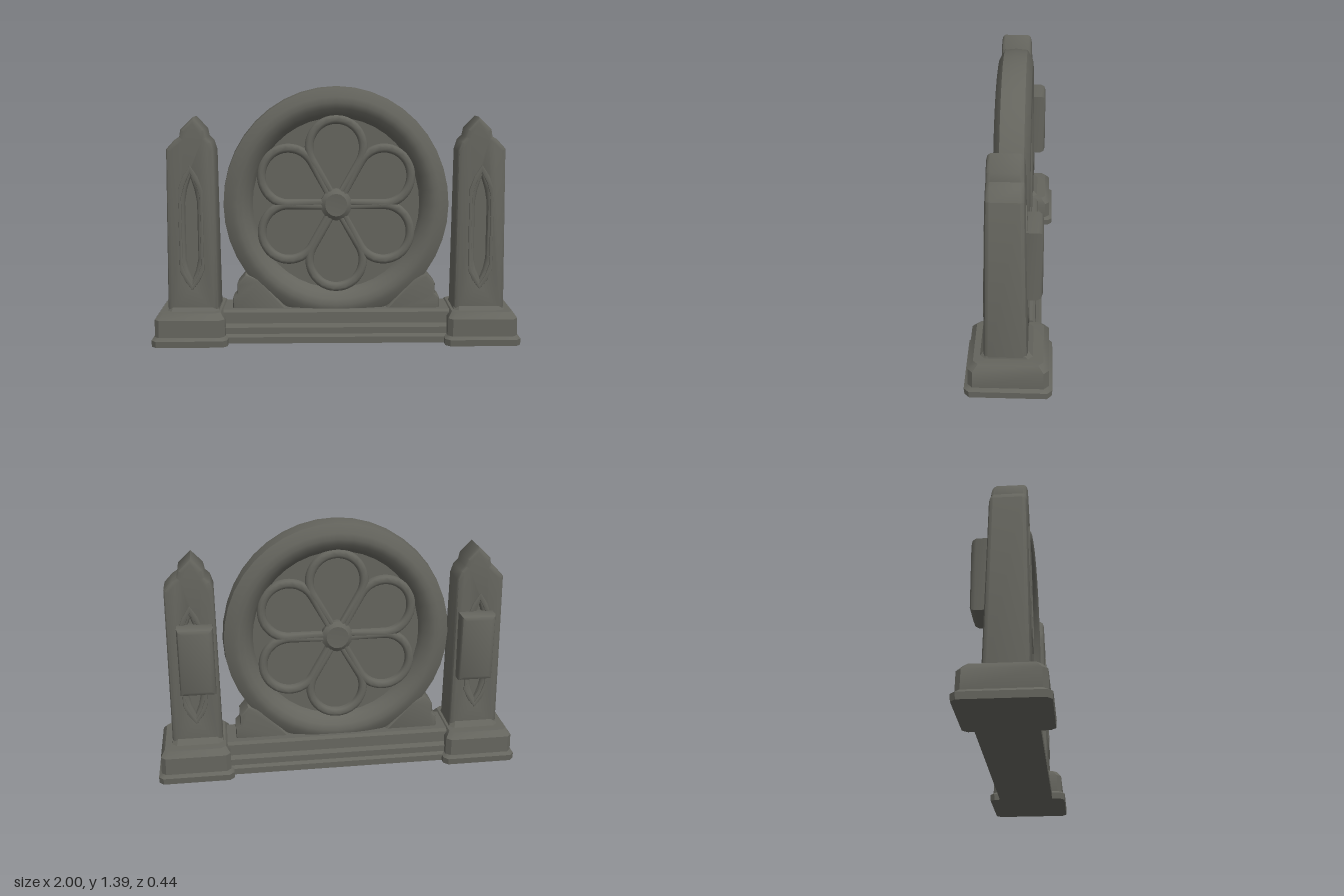
import * as THREE from 'three';
import { toCreasedNormals } from 'three/addons/utils/BufferGeometryUtils.js';

const stone = new THREE.MeshStandardMaterial({ color: 0x64645d });
stone.name = 'weathered stone';

function part(name, geometry, parent, crease = 0.6) {
  const mesh = new THREE.Mesh(toCreasedNormals(geometry, crease), stone);
  mesh.name = name;
  parent.add(mesh);
  return mesh;
}

const points = (list) => list.map(([x, y]) => new THREE.Vector2(x, y));
const outline = (list) => new THREE.Shape(points(list));

// Bevelled slab whose full size equals the outline, centred on z
function slab(shape, depth, bevel, curveSegments = 12) {
  const g = new THREE.ExtrudeGeometry(shape, {
    depth: depth - 2 * bevel, bevelEnabled: bevel > 0, bevelThickness: bevel,
    bevelSize: bevel, bevelOffset: -bevel, bevelSegments: 2, curveSegments,
  });
  return g.translate(0, 0, -depth / 2 + bevel);
}

// Block with cut corners whose size follows a list of [halfWidth, halfDepth, y]
function steppedBlock(levels) {
  const pos = [], index = [], cut = 0.025;
  levels.forEach(([w, d, y]) => {
    [[w, d - cut], [w - cut, d], [cut - w, d], [-w, d - cut],
      [-w, cut - d], [cut - w, -d], [w - cut, -d], [w, cut - d]].forEach(([x, z]) => pos.push(x, y, z));
  });
  for (let i = 0; i < levels.length - 1; i++) {
    for (let j = 0; j < 8; j++) {
      const a = i * 8 + j, b = i * 8 + (j + 1) % 8;
      index.push(a, a + 8, b, b, a + 8, b + 8);
    }
  }
  const top = (levels.length - 1) * 8;
  for (let j = 1; j < 7; j++) index.push(0, j, j + 1, top, top + j + 1, top + j);
  const g = new THREE.BufferGeometry();
  g.setAttribute('position', new THREE.Float32BufferAttribute(pos, 3));
  g.setIndex(index);
  return g;
}

// Teardrop with a round end of radius r at height c and its tip towards the hub
function teardrop(Type, c, r, tip) {
  const a = Math.asin(r / (c - tip));
  const s = new Type();
  s.moveTo(0, tip);
  s.absarc(0, c, r, -a, Math.PI + a, false);
  s.lineTo(0, tip);
  return s;
}

function roseWindow() {
  const wheel = new THREE.Group();
  wheel.name = 'roseWindow';

  // Heavy outer ring with rounded shoulders
  const ring = new THREE.LatheGeometry(points([
    [0.455, -0.02], [0.475, -0.05], [0.505, -0.082], [0.535, -0.092], [0.565, -0.088], [0.612, -0.06],
    [0.618, 0], [0.612, 0.06], [0.565, 0.088], [0.535, 0.092], [0.505, 0.082], [0.475, 0.05],
    [0.455, 0.02], [0.455, -0.02]]), 40);
  part('outerRing', ring.rotateX(Math.PI / 2), wheel, 0.75);

  // Sunken panel behind the tracery
  part('panel', new THREE.CylinderGeometry(0.47, 0.47, 0.044, 40).rotateX(Math.PI / 2), wheel);

  // Six petal frames with rounded edges, open in the middle
  for (let i = 0; i < 6; i++) {
    const petal = teardrop(THREE.Shape, 0.3, 0.17, 0);
    petal.holes.push(teardrop(THREE.Path, 0.3, 0.124, 0.052));
    part('petalFrame', slab(petal, 0.11, 0.016, 20), wheel, 0.9).rotation.z = i * Math.PI / 3;
  }

  // Hub
  const hub = new THREE.LatheGeometry(points([
    [0, -0.064], [0.06, -0.068], [0.085, -0.05], [0.085, 0.05], [0.06, 0.068], [0, 0.064]]), 16);
  part('hub', hub.rotateX(Math.PI / 2), wheel);

  // The wheel is slightly taller than wide
  wheel.position.set(0, 0.752, -0.002);
  wheel.scale.y = 1.035;
  return wheel;
}

// Niche outline, pointed at top and bottom
const lancet = (w, low, high) => [
  [0, low], [w * 0.6, low + 0.05], [w, low + 0.11], [w, high - 0.13], [w * 0.6, high - 0.06],
  [0, high], [-w * 0.6, high - 0.06], [-w, high - 0.13], [-w, low + 0.11], [-w * 0.6, low + 0.05]];

// Narrows the pillar depth towards the top
function taper(g) {
  const p = g.attributes.position;
  for (let i = 0; i < p.count; i++) {
    p.setZ(i, p.getZ(i) * (1.06 - 0.2 * p.getY(i)) + 0.014);
  }
  return g;
}

function pillar(side) {
  const g = new THREE.Group();
  g.name = side > 0 ? 'leftPillar' : 'rightPillar';
  const x = side * 0.782;

  // Stepped plinth
  part('plinth', steppedBlock([
    [0.205, 0.215, 0], [0.205, 0.218, 0.035], [0.19, 0.2, 0.05], [0.188, 0.198, 0.145],
    [0.165, 0.172, 0.178], [0.15, 0.13, 0.18]]), g).position.x = side * 0.795;

  // Gabled shaft with a splayed niche through it, backed by a core
  const shaft = outline([
    [-0.138, 0.14], [0.138, 0.14], [0.126, 1.06], [0.08, 1.11], [0.055, 1.125], [0.048, 1.165],
    [-0.02, 1.23], [-0.082, 1.165], [-0.09, 1.125], [-0.115, 1.1], [-0.131, 1.05],
  ].map(([px, py]) => [side * px, py]));
  shaft.holes.push(new THREE.Path(points(lancet(0.032, 0.355, 0.905))));
  part('shaft', taper(slab(shaft, 0.214, 0.024)), g, 0.8).position.x = x;
  const core = new THREE.BoxGeometry(0.16, 0.76, 0.165).translate(0, 0.63, 0);
  part('nicheBack', taper(core), g).position.x = x;

  // Slim raised frame around the niche, front and back
  const frame = outline(lancet(0.066, 0.295, 0.975));
  frame.holes.push(new THREE.Path(points(lancet(0.05, 0.325, 0.935))));
  part('nicheFrame', taper(slab(frame, 0.226, 0.004)), g).position.x = x;

  // Block fixed to the back of the shaft
  const block = outline([[-0.095, 0.49], [0.095, 0.49], [0.095, 0.87], [-0.095, 0.87]]);
  part('backBlock', slab(block, 0.13, 0.026), g, 0.9).position.set(side * 0.76, 0, -0.098);

  // Sloped footing where the shaft meets the plinth
  part('footing', steppedBlock([[0.142, 0.138, 0.17], [0.13, 0.1, 0.215]]), g).position.set(x, 0, 0.01);
  return g;
}

export function createModel() {
  const model = new THREE.Group();
  model.name = 'roseWindowMonument';
  model.add(roseWindow(), pillar(1), pillar(-1));

  // Moulded sill between the plinths
  const sill = outline([
    [-0.152, 0], [0.152, 0], [0.152, 0.035], [0.138, 0.05], [0.138, 0.085], [0.122, 0.105],
    [0.118, 0.165], [0.105, 0.18], [-0.105, 0.18], [-0.118, 0.165], [-0.122, 0.105],
    [-0.138, 0.085], [-0.138, 0.05], [-0.152, 0.035]]);
  part('sill', slab(sill, 1.24, 0).rotateY(Math.PI / 2), model).position.z = -0.007;

  // Stepped shoulders cradling the ring on each side
  for (const side of [1, -1]) {
    const shoulder = outline([
      [0.25, 0.15], [0.57, 0.15], [0.57, 0.235], [0.545, 0.26], [0.545, 0.315], [0.5, 0.37], [0.42, 0.34],
    ].map(([x, y]) => [side * x, y]));
    part('shoulder', slab(shoulder, 0.15, 0.015), model);
  }
  return model;
}
